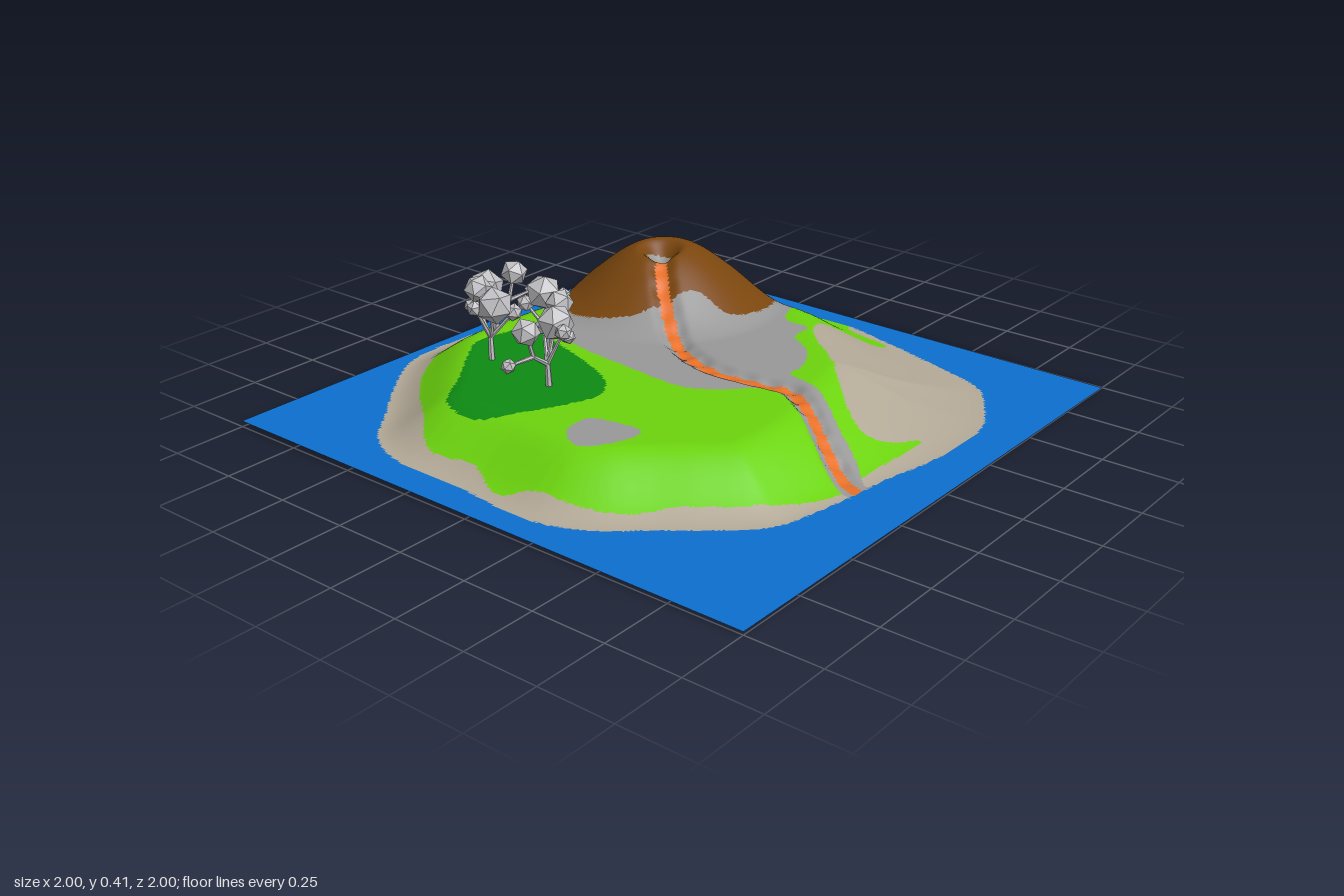
import * as THREE from 'three';

const mat = (name, color, side = THREE.DoubleSide) => {
  const m = new THREE.MeshStandardMaterial({ color, side });
  m.name = name;
  return m;
};
const smooth = THREE.MathUtils.smoothstep;

// Closed or open smooth outline in the ground plane from a flat x, z list
function outline(list, closed = true, samples = 110) {
  const pts = [];
  for (let i = 0; i < list.length; i += 2) pts.push(new THREE.Vector3(list[i], 0, list[i + 1]));
  return new THREE.CatmullRomCurve3(pts, closed, 'centripetal').getPoints(samples).map(p => [p.x, p.z]);
}

function inside(poly, x, z) {
  let hit = false;
  for (let i = 0, j = poly.length - 1; i < poly.length; j = i++) {
    const [ax, az] = poly[i], [bx, bz] = poly[j];
    if ((az > z) !== (bz > z) && x < (bx - ax) * (z - az) / (bz - az) + ax) hit = !hit;
  }
  return hit;
}

function distance(line, x, z) {
  let best = 9;
  for (let i = 1; i < line.length; i++) {
    const [ax, az] = line[i - 1], dx = line[i][0] - ax, dz = line[i][1] - az;
    const t = THREE.MathUtils.clamp(((x - ax) * dx + (z - az) * dz) / (dx * dx + dz * dz + 1e-12), 0, 1);
    best = Math.min(best, Math.hypot(x - ax - t * dx, z - az - t * dz));
  }
  return best;
}

// Region outlines
const coast = outline([0.03, -0.92, 0.17, -0.89, 0.49, -0.8, 0.68, -0.73, 0.78, -0.6, 0.85, -0.46,
  0.855, -0.18, 0.81, 0.06, 0.8, 0.17, 0.765, 0.38, 0.73, 0.5, 0.59, 0.64, 0.49, 0.72, 0.35, 0.84,
  0.17, 0.91, -0.13, 0.89, -0.4, 0.885, -0.56, 0.82, -0.69, 0.67, -0.83, 0.5, -0.95, 0.3,
  -0.95, -0.08, -0.92, -0.29, -0.93, -0.61, -0.82, -0.77, -0.64, -0.9, -0.29, -0.9]);
const grass = outline([0.02, -0.95, 0.06, -0.88, 0.25, -0.84, 0.235, -0.79, 0.14, -0.75, 0.11, -0.62,
  0.18, -0.48, 0.33, -0.36, 0.56, -0.13, 0.65, -0.09, 0.71, -0.13, 0.765, -0.24, 0.76, 0.08,
  0.77, 0.2, 0.7, 0.39, 0.62, 0.5, 0.47, 0.63, 0.38, 0.735, 0.245, 0.8, 0.085, 0.82, 0, 0.865,
  -0.155, 0.8, -0.34, 0.81, -0.5, 0.68, -0.69, 0.52, -0.8, 0.38, -0.87, 0.2, -0.855, 0.055,
  -0.82, -0.05, -0.87, -0.105, -0.98, -0.09, -0.98, -0.7, -0.7, -0.98]);
const rock = outline([-0.5, -0.85, -0.32, -0.855, -0.155, -0.8, -0.05, -0.69, 0.03, -0.53, 0.13, -0.52,
  0.14, -0.43, 0.25, -0.345, 0.315, -0.21, 0.31, -0.16, 0.45, -0.12, 0.6, -0.02, 0.7, 0.04,
  0.79, 0.13, 0.79, 0.19, 0.65, 0.15, 0.55, 0.04, 0.38, -0.01, 0.3, 0, 0.22, 0.08, 0.11, 0.14,
  -0.13, 0.125, -0.34, 0.1, -0.56, 0.03, -0.69, -0.08, -0.8, -0.185, -0.84, -0.32, -0.835, -0.5,
  -0.77, -0.67, -0.66, -0.78]);
const cone = outline([-0.48, -0.78, -0.26, -0.77, -0.13, -0.69, -0.075, -0.58, -0.07, -0.45, -0.1, -0.37,
  -0.2, -0.33, -0.26, -0.22, -0.32, -0.13, -0.42, -0.085, -0.555, -0.08, -0.66, -0.16, -0.78, -0.24,
  -0.795, -0.4, -0.76, -0.61, -0.64, -0.75]);
const forest = outline([-0.62, 0.05, -0.5, 0.1, -0.29, 0.17, -0.12, 0.25, -0.05, 0.35, -0.08, 0.46,
  -0.14, 0.58, -0.19, 0.65, -0.28, 0.69, -0.41, 0.66, -0.5, 0.52, -0.6, 0.38, -0.66, 0.28, -0.64, 0.15]);
const outcrop = outline([0.04, 0.5, 0.14, 0.47, 0.22, 0.47, 0.23, 0.52, 0.18, 0.63, 0.13, 0.66,
  0.06, 0.63, 0.03, 0.56], true, 40);
const lavaPath = outline([-0.4, -0.38, -0.315, -0.28, -0.18, -0.17, -0.05, -0.09, 0.085, -0.045,
  0.245, -0.05, 0.38, -0.065, 0.485, -0.01, 0.62, 0.08, 0.75, 0.155, 0.8, 0.17], false, 50);

// Ground height: tilted sea bed, plateau, volcano, crater and lava channel
function height(x, z) {
  const sea = 0.01 - 0.005 * (x - z);
  if (!inside(coast, x, z)) return sea;
  const d = distance(coast, x, z);
  const near = (cx, cz, r) => Math.exp(-((x - cx) ** 2 + (z - cz) ** 2) / (r * r));
  const width = 0.28 + 0.4 * near(0.65, -0.5, 0.45) - 0.06 * near(-0.7, -0.7, 0.4);
  const rise = smooth(d, 0, width);
  let y = sea + (0.15 - sea) * rise;
  y += 0.212 * (1 - smooth(Math.hypot(x + 0.42, z + 0.42), 0.05, 0.43)) * smooth(d, 0, 0.12);
  y -= 0.05 * (1 - smooth(Math.hypot(x + 0.41, z + 0.39), 0.02, 0.09));
  const groove = 1 - smooth(distance(lavaPath, x, z), 0.015, 0.055);
  y -= (0.022 + 0.006 * Math.sin(x * 70) * Math.sin(z * 55)) * groove * smooth(d, 0, 0.12);
  return y;
}

// Index into the ground materials
function region(x, z) {
  if (!inside(coast, x, z)) return 0;
  const flow = distance(lavaPath, x, z);
  if (flow < 0.02 && x > -0.385) return 6;
  if (Math.hypot(x + 0.405, z + 0.375) < 0.045) return 4;
  if (flow < 0.045 && x > -0.24) return 4;
  if (inside(cone, x, z)) return 5;
  if (inside(rock, x, z) || inside(outcrop, x, z)) return 4;
  if (inside(forest, x, z)) return 3;
  return inside(grass, x, z) ? 2 : 1;
}

function buildGround(materials) {
  const n = 200, geo = new THREE.PlaneGeometry(2, 2, n, n).rotateX(-Math.PI / 2);
  const pos = geo.attributes.position, old = geo.index.array;
  for (let i = 0; i < pos.count; i++) pos.setY(i, height(pos.getX(i), pos.getZ(i)));
  // Sort the triangles by region, one group per material
  const lists = materials.map(() => []);
  for (let i = 0; i < old.length; i += 3) {
    const t = [old[i], old[i + 1], old[i + 2]];
    const mean = f => (f(t[0]) + f(t[1]) + f(t[2])) / 3;
    lists[region(mean(k => pos.getX(k)), mean(k => pos.getZ(k)))].push(...t);
  }
  geo.setIndex(lists.flat());
  let start = 0;
  lists.forEach((l, m) => { geo.addGroup(start, l.length, m); start += l.length; });
  geo.computeVertexNormals();
  const mesh = new THREE.Mesh(geo, materials);
  mesh.name = 'islandGround';
  return mesh;
}

// Tree with forked limbs, each ending in a faceted crown; it leans along +x
function buildTree(material) {
  const tree = new THREE.Group();
  tree.name = 'tree';
  const limb = (a, b, r0, r1) => {
    const dir = new THREE.Vector3().subVectors(b, a);
    const m = new THREE.Mesh(new THREE.CylinderGeometry(r1, r0, dir.length(), 6), material);
    m.name = 'branch';
    m.position.addVectors(a, b).multiplyScalar(0.5);
    m.quaternion.setFromUnitVectors(new THREE.Vector3(0, 1, 0), dir.normalize());
    tree.add(m);
  };
  const V = (x, y, z) => new THREE.Vector3(x, y, z);
  const fork = V(0.005, 0.075, 0), bend = V(0.07, 0.12, 0);
  limb(V(0, -0.02, 0), fork, 0.012, 0.009);
  limb(fork, bend, 0.009, 0.007);
  // [crown centre, radius, branch start]
  [[V(-0.04, 0.2, 0), 0.062, fork], [V(0.1, 0.212, 0), 0.047, bend], [V(0.18, 0.125, 0.005), 0.025, bend],
    [V(-0.05, 0.17, 0.06), 0.03, fork], [V(-0.01, 0.19, -0.055), 0.028, fork]].forEach(([c, r, from], i) => {
    limb(from, c, 0.008, 0.005);
    const crown = new THREE.Mesh(new THREE.IcosahedronGeometry(r, 0), material);
    crown.name = 'crown';
    crown.position.copy(c);
    crown.rotation.set(i * 0.7, i * 1.3, 0.3);
    tree.add(crown);
  });
  return tree;
}

export function createModel() {
  const model = new THREE.Group();
  model.name = 'volcanicIsland';
  model.add(buildGround([mat('sea', 0x0d6fce), mat('sand', 0xb3a997), mat('grass', 0x6cd40e),
    mat('forestFloor', 0x0e8c14), mat('rock', 0x989898), mat('volcanoEarth', 0x7a460e), mat('lava', 0xe87028)]));

  // Grove: large crown x, z and second crown x, z of every tree
  const bark = mat('paleTree', 0xc2c2c6, THREE.FrontSide);
  bark.flatShading = true;
  [[-0.685, 0.2, -0.69, 0.05], [-0.475, 0.37, -0.615, 0.31], [-0.44, 0.18, -0.305, 0.245],
    [-0.225, 0.355, -0.22, 0.495]].forEach(([x, z, x2, z2], i) => {
    const tree = buildTree(bark);
    const bx = x + (x2 - x) * 0.28, bz = z + (z2 - z) * 0.28;
    tree.position.set(bx, i === 0 ? 0.115 : 0.15, bz);
    tree.rotation.y = Math.atan2(z - z2, x2 - x);
    model.add(tree);
  });
  return model;
}
